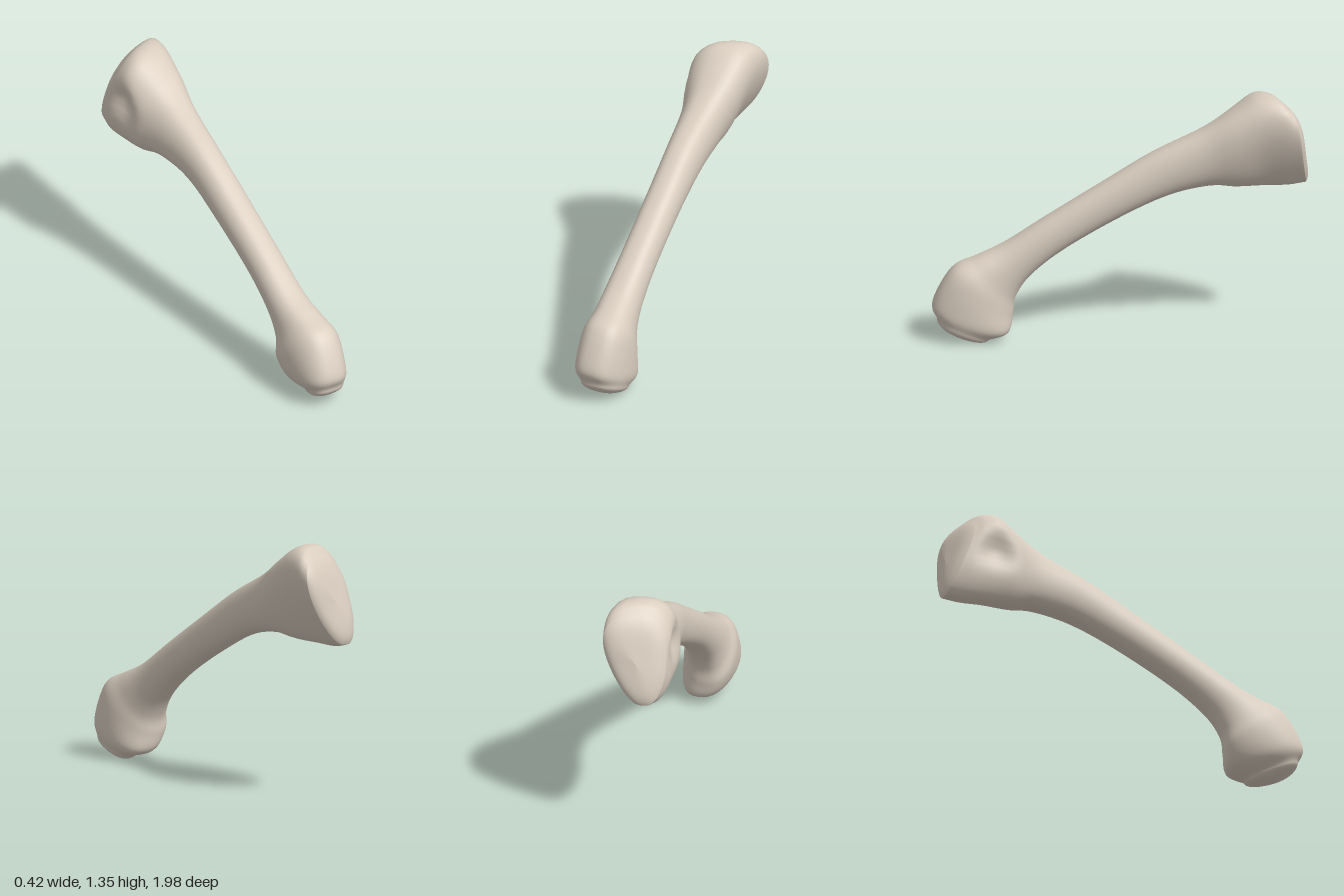
import * as THREE from 'three';

// Cross-sections from the front knob to the back plate, each an upper and a lower end:
// [z, y, centre x, half-width]
const SECTIONS = [
  // front knob, fanning around the neck
  [[0.975, 0.12, 0.075, 0.12], [0.70, 0.018, 0.12, 0.08]],
  [[1.00, 0.21, 0.07, 0.145], [0.60, 0.05, 0.09, 0.13]],
  [[0.90, 0.395, 0.08, 0.145], [0.575, 0.14, 0.05, 0.14]],
  [[0.77, 0.46, 0.07, 0.12], [0.56, 0.24, 0.05, 0.115]],
  // shaft
  [[0.62, 0.53, 0.05, 0.105], [0.48, 0.36, 0.05, 0.10]],
  [[0.40, 0.675, 0.04, 0.095], [0.30, 0.505, 0.04, 0.095]],
  [[0.10, 0.865, 0.025, 0.095], [0.00, 0.68, 0.02, 0.095]],
  [[-0.15, 1.02, 0.01, 0.10], [-0.25, 0.795, 0.005, 0.10]],
  // flared back end, wide above and narrow below
  [[-0.42, 1.155, 0, 0.125], [-0.46, 0.835, -0.03, 0.12]],
  [[-0.58, 1.26, -0.01, 0.18], [-0.60, 0.815, -0.07, 0.13]],
  [[-0.70, 1.335, -0.01, 0.21], [-0.75, 0.81, -0.10, 0.115]],
  [[-0.79, 1.34, 0, 0.21], [-0.88, 0.81, -0.11, 0.115]],
  [[-0.85, 1.295, 0, 0.195], [-0.975, 0.83, -0.10, 0.11]],
];

const BODY_STEPS = 72;
const CAP_STEPS = 10;
const SIDES = 40;

// Smooth curves through the ends and the half-widths of the sections
const through = (pick) => new THREE.CatmullRomCurve3(
  SECTIONS.map((s) => new THREE.Vector3(...pick(s))), false, 'catmullrom', 0.5);
const topCurve = through(([top]) => top.slice(0, 3));
const bottomCurve = through(([, bottom]) => bottom.slice(0, 3));
const widthCurve = through(([top, bottom]) => [top[3], bottom[3], 0]);

// One squarish oval at u along the bone, shrunk by scale and moved by (dz, dy) for the caps
function ring(u, scale, dz, dy) {
  const top = topCurve.getPoint(u);
  const bottom = bottomCurve.getPoint(u);
  const width = widthCurve.getPoint(u);
  const middle = top.clone().lerp(bottom, 0.5);
  // the back end is slanted, and its right flank is hollowed
  const skew = 0.45 * THREE.MathUtils.smoothstep(-top.x, 0.5, 0.86);
  const hollow = 0.35 * Math.exp(-(((top.x + 0.7) / 0.1) ** 2));
  const points = [];
  for (let j = 0; j < SIDES; j++) {
    const a = (j / SIDES) * Math.PI * 2;
    const t = (1 - Math.cos(a)) / 2;
    const s = Math.sin(a);
    const p = top.clone().lerp(bottom, t);
    let w = THREE.MathUtils.lerp(width.x, width.y, t) * Math.sign(s) * Math.abs(s) ** 0.78;
    if (s < 0) w *= 1 - hollow * Math.exp(-(((t - 0.48) / 0.17) ** 2));
    p.z += w;
    p.x -= skew * p.z * (1 - 0.6 * t);
    p.sub(middle).multiplyScalar(scale).add(middle);
    points.push(p.z, p.y + dy, p.x + dz);
  }
  return points;
}

// Domed end: a high power gives a flat face with a rounded rim
function cap(u, power, dz, dy) {
  const rings = [];
  for (let i = 0; i < CAP_STEPS; i++) {
    const scale = Math.sin((i / CAP_STEPS) * Math.PI / 2);
    const depth = (1 - scale ** power) ** (power > 2 ? 1 : 0.5);
    rings.push(ring(u, scale, dz * depth, dy * depth));
  }
  return rings;
}

function boneGeometry() {
  const rings = cap(0, 2, 0.017, -0.047);
  for (let i = 0; i <= BODY_STEPS; i++) rings.push(ring(i / BODY_STEPS, 1, 0, 0));
  rings.push(...cap(1, 6, -0.03, 0).reverse());

  const indices = [];
  for (let i = 0; i < rings.length - 1; i++) {
    for (let j = 0; j < SIDES; j++) {
      const row = i * SIDES;
      const next = row + SIDES;
      const k = (j + 1) % SIDES;
      indices.push(row + j, row + k, next + j, row + k, next + k, next + j);
    }
  }
  const geometry = new THREE.BufferGeometry();
  geometry.setAttribute('position', new THREE.Float32BufferAttribute(rings.flat(), 3));
  geometry.setIndex(indices);
  geometry.computeVertexNormals();
  return geometry;
}

export function createModel() {
  const group = new THREE.Group();
  group.name = 'bone';
  const body = new THREE.Mesh(boneGeometry(), new THREE.MeshStandardMaterial({ color: 0xd9cdbf }));
  body.name = 'boneBody';
  group.add(body);
  return group;
}
